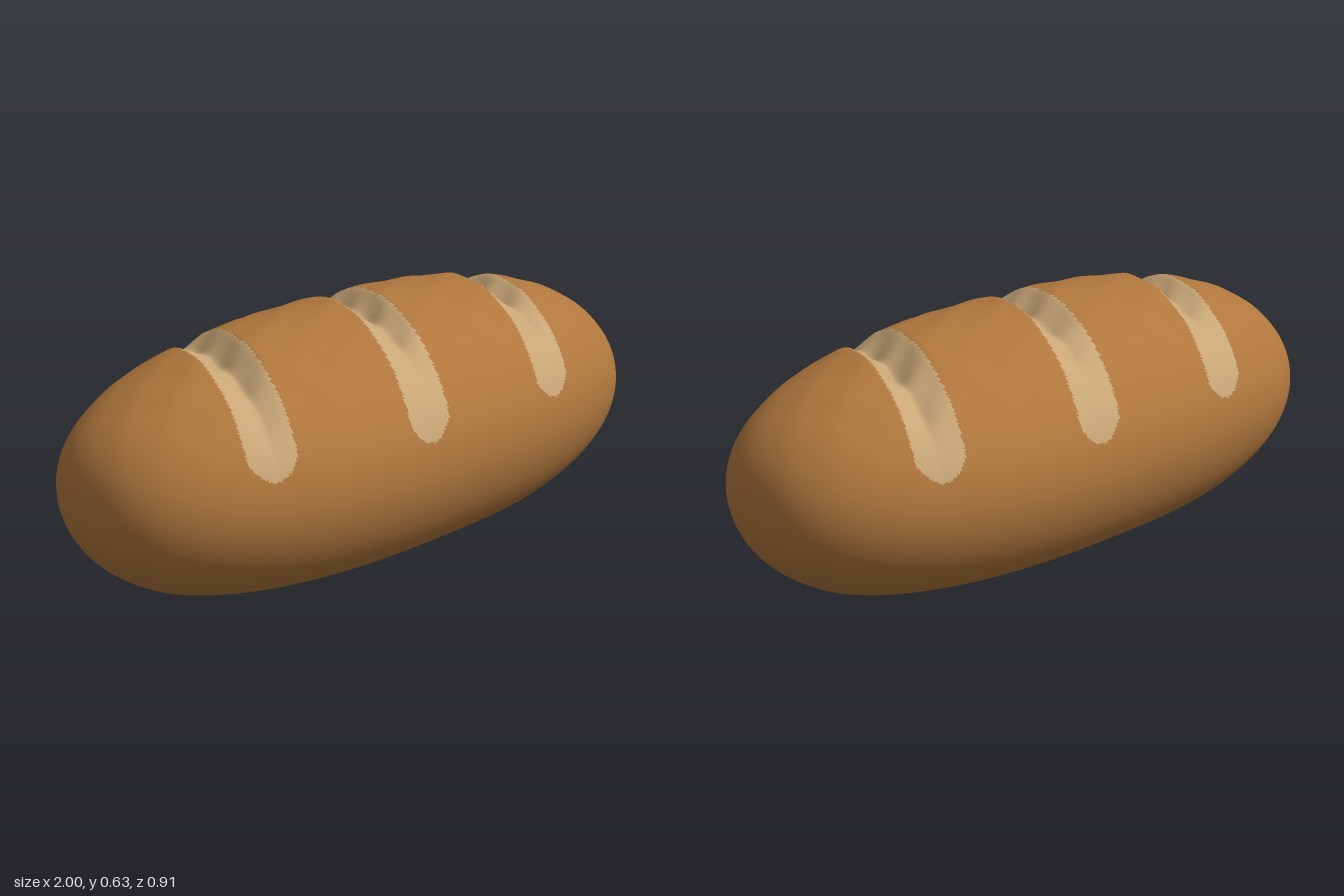
import * as THREE from 'three';

const HALF_WIDTH = 0.457, HALF_HEIGHT = 0.378, MID_Y = 0.255;
const CUT_SLOPE = -0.386, CUT_HALF = 0.075;
const CUTS = [-0.54, 0, 0.54];

// Relative girth of the loaf along its length
const girth = x => Math.pow(Math.max(0, 1 - Math.pow(Math.abs(x), 2.5)), 0.4);

// Signed position across the nearest slanted slash, -1..1 inside it
function acrossCut(x, z) {
  const offsets = CUTS.map(c => (x - c - CUT_SLOPE * z) / CUT_HALF);
  return offsets.reduce((a, b) => (Math.abs(a) < Math.abs(b) ? a : b));
}

// Slashes have rounded ends low on the sides
function inCut(x, y, z) {
  const end = Math.sqrt(THREE.MathUtils.clamp((y - 0.345) / 0.05, 0, 1));
  return Math.abs(acrossCut(x, z)) < end;
}

// Skewed V groove, deepest on the crown, with slightly swollen lips
function grooveDepth(x, z) {
  const u = acrossCut(x, z);
  const fade = Math.pow(Math.max(0, 1 - (z / 0.4) ** 2), 1.5);
  const v = u < 0.1 ? (u + 1) / 1.1 : (1 - u) / 0.9;
  const wobble = 1 + 0.12 * Math.sin(z * 41 + x * 7);
  return fade * wobble * 0.062 * Math.max(0, v);
}

function buildLoaf(crust, crumb) {
  const nx = 320, na = 200, pos = [], outer = [], cut = [];
  for (let j = 0; j <= na; j++) {
    for (let i = 0; i <= nx; i++) {
      const x = Math.sin((i / nx - 0.5) * Math.PI);
      const r = girth(x);
      // Each section stops where it meets the flat base
      const low = -Math.asin(Math.min(1, MID_Y / (HALF_HEIGHT * Math.max(r, 1e-6))));
      const a = low + (Math.PI - 2 * low) * j / na;
      const z = HALF_WIDTH * r * Math.cos(a);
      let y = MID_Y + HALF_HEIGHT * r * Math.sin(a);
      if (Math.sin(a) > 0) {
        const ripple = 0.0025 * Math.sin(x * 37 + z * 15) * Math.sin(z * 29 - x * 11);
        y += Math.sin(a) * r * ripple - grooveDepth(x, z);
      }
      pos.push(x, Math.max(0, y), z);
    }
  }
  // Sort triangles into crust and exposed crumb
  const add = (...tri) => {
    const c = [0, 1, 2].map(k => tri.reduce((s, v) => s + pos[v * 3 + k], 0) / 3);
    (inCut(...c) ? cut : outer).push(...tri);
  };
  for (let j = 0; j < na; j++) {
    for (let i = 0; i < nx; i++) {
      const p = j * (nx + 1) + i, q = p + nx + 1;
      add(p, p + 1, q);
      add(p + 1, q + 1, q);
    }
  }
  const geo = new THREE.BufferGeometry();
  geo.setAttribute('position', new THREE.Float32BufferAttribute(pos, 3));
  geo.setIndex(outer.concat(cut));
  geo.addGroup(0, outer.length, 0);
  geo.addGroup(outer.length, cut.length, 1);
  geo.computeVertexNormals();
  const mesh = new THREE.Mesh(geo, [crust, crumb]);
  mesh.name = 'loafWithSlashes';
  return mesh;
}

// Flat underside
function buildBase(crust) {
  const n = 80, points = [], ratio = MID_Y / HALF_HEIGHT;
  const end = Math.pow(1 - Math.pow(ratio, 2.5), 0.4);
  for (let i = 0; i < n; i++) {
    const a = i / n * Math.PI * 2, x = end * Math.cos(a);
    const z = HALF_WIDTH * Math.sqrt(Math.max(0, girth(x) ** 2 - ratio ** 2));
    points.push(new THREE.Vector2(x, Math.sign(Math.sin(a)) * z));
  }
  const geo = new THREE.ShapeGeometry(new THREE.Shape(points));
  geo.rotateX(Math.PI / 2);
  const mesh = new THREE.Mesh(geo, crust);
  mesh.name = 'flatBase';
  return mesh;
}

export function createModel() {
  const crust = new THREE.MeshStandardMaterial({ color: 0xb0773d });
  crust.name = 'brown crust';
  const crumb = new THREE.MeshStandardMaterial({ color: 0xc8a676 });
  crumb.name = 'pale crumb';
  const group = new THREE.Group();
  group.name = 'breadLoaf';
  group.add(buildLoaf(crust, crumb), buildBase(crust));
  return group;
}
